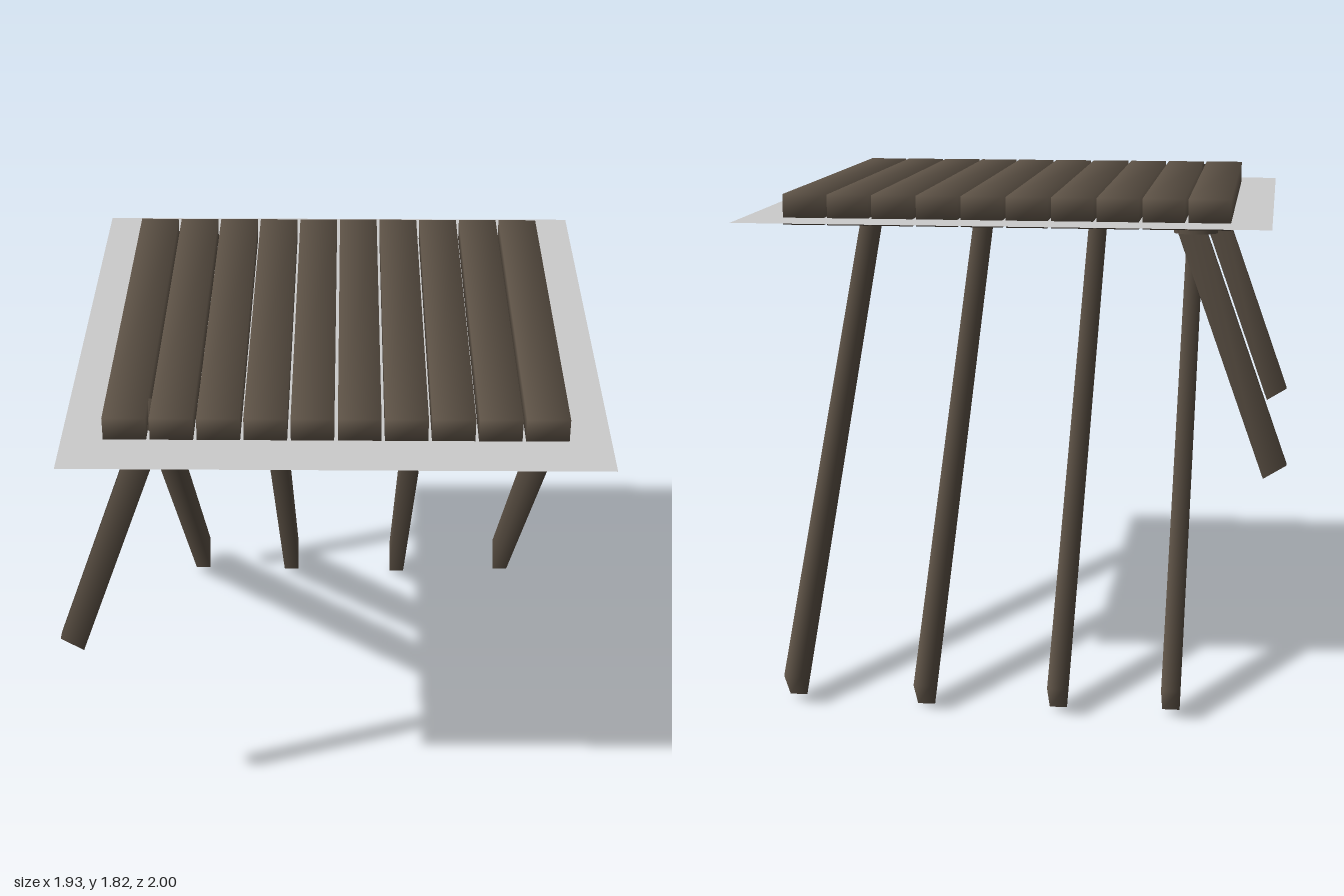
import * as THREE from 'three';
import { mergeVertices } from 'three/addons/utils/BufferGeometryUtils.js';

// Shares corner normals so faces shade softly into each other
function soften(geometry) {
  geometry.deleteAttribute('normal');
  geometry.deleteAttribute('uv');
  geometry.clearGroups();
  const merged = mergeVertices(geometry, 1e-4);
  merged.computeVertexNormals();
  return merged;
}

// Beam with a four-sided profile, extruded evenly about the profile plane
function beam(points, depth) {
  const shape = new THREE.Shape(points.map(([a, b]) => new THREE.Vector2(a, b)));
  const g = new THREE.ExtrudeGeometry(shape, { depth, bevelEnabled: false });
  g.translate(0, 0, -depth / 2);
  return soften(g);
}

export function createModel() {
  const group = new THREE.Group();
  const wood = new THREE.MeshStandardMaterial({ color: 0x5c5145 });
  wood.name = 'dark wood';
  const pale = new THREE.MeshStandardMaterial({ color: 0xcccccc, side: THREE.DoubleSide });
  pale.name = 'pale grey';

  const add = (name, geometry, material, x, y, z) => {
    const mesh = new THREE.Mesh(geometry, material);
    mesh.name = name;
    mesh.position.set(x, y, z);
    group.add(mesh);
    return mesh;
  };

  // Ten deck planks running front to back
  const plank = soften(new THREE.BoxGeometry(0.147, 0.108, 1.58));
  for (let i = 0; i < 10; i++) add('plank', plank, wood, -0.684 + i * 0.1592, 1.766, 0.02);

  // Thin sheet passing through the deck
  const sheet = new THREE.PlaneGeometry(1.865, 1.955);
  sheet.rotateX(-Math.PI / 2);
  add('sheet', sheet, pale, 0.0325, 1.737, 0.0225);

  // Four long struts sloping down to the back
  const strut = beam([[-0.914, 0.005], [0.755, 1.72], [0.675, 1.808], [-1.0, 0.103]], 0.062);
  strut.rotateY(-Math.PI / 2);
  [[-0.581, 0.012], [-0.178, 0.004], [0.301, -0.004], [0.772, 0.012]]
    .forEach(([x, y]) => add('longStrut', strut, wood, x, y, 0));

  // Two short side braces, each with a mounting pad
  const brace = beam([[-0.886, 0.817], [-0.562, 1.72], [-0.663, 1.72], [-0.968, 0.868]], 0.044);
  const pad = new THREE.CylinderGeometry(0.5, 0.5, 0.024, 16);
  for (const z of [0.753, -0.671]) {
    add('sideBrace', brace, wood, 0, 0, z);
    add('bracePad', pad, wood, -0.632, 1.702, z > 0 ? 0.74 : -0.652).scale.set(0.155, 1, 0.118);
  }
  return group;
}
